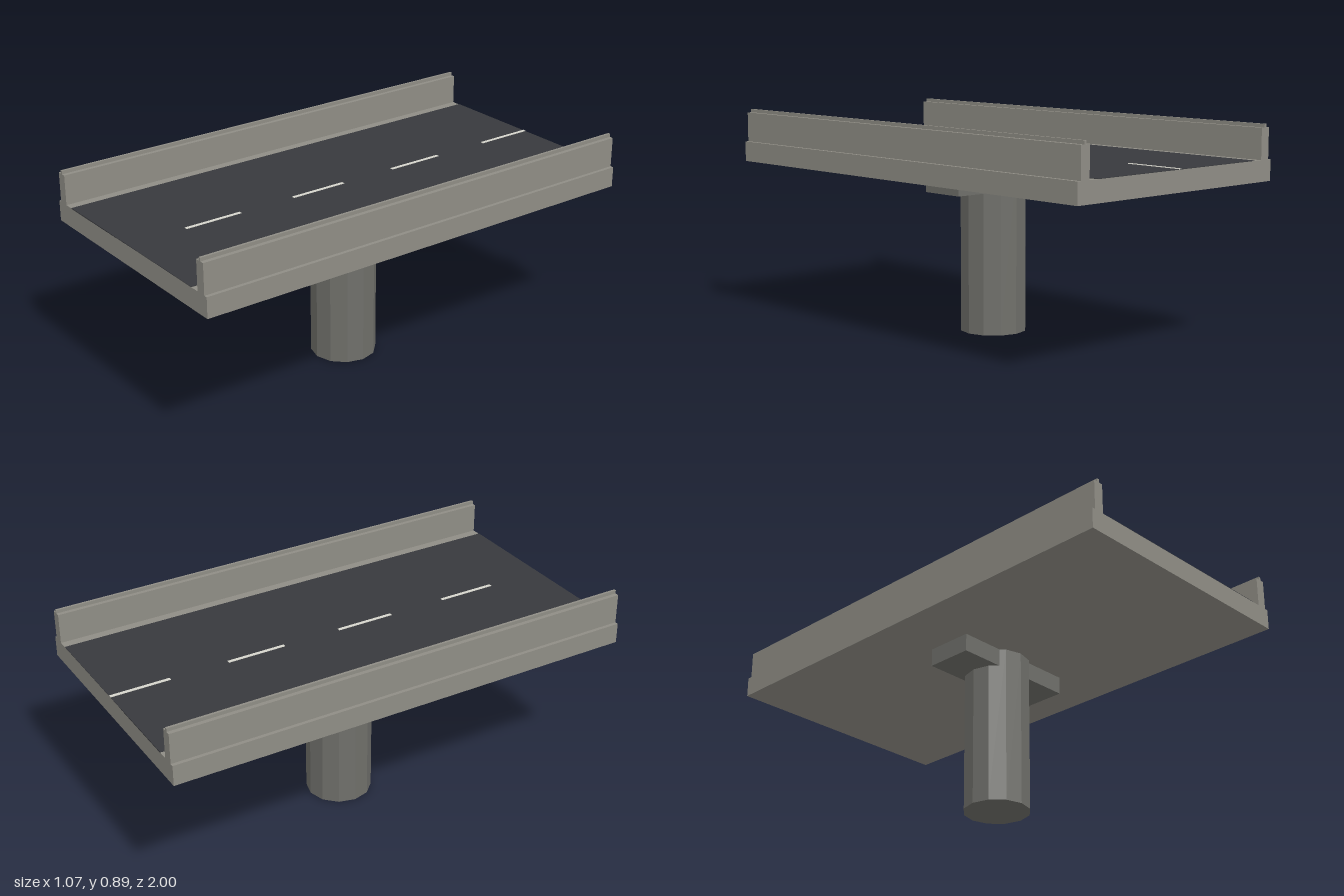
import * as THREE from 'three';

const material = (color, flatShading = false) => new THREE.MeshStandardMaterial({ color, flatShading });

export function createModel() {
  const model = new THREE.Group();
  model.name = 'bridgeSegment';

  const concrete = material(0x8f8d85);
  const pierConcrete = material(0x6f6f6a, true);
  const asphalt = material(0x38393d);
  const paint = material(0xd6d5cc);

  const add = (name, geometry, mat, x, y, z) => {
    const mesh = new THREE.Mesh(geometry, mat);
    mesh.name = name;
    mesh.position.set(x, y, z);
    model.add(mesh);
  };
  // Box given by its bottom and top heights
  const box = (name, mat, width, bottom, top, depth, x = 0, z = 0) =>
    add(name, new THREE.BoxGeometry(width, top - bottom, depth), mat, x, (bottom + top) / 2, z);

  // Pier: twelve-sided column with a crossbeam under the deck
  add('column', new THREE.CylinderGeometry(0.1375, 0.1375, 0.665, 12), pierConcrete, 0, 0.3325, 0);
  box('capBeam', pierConcrete, 0.56, 0.59, 0.665, 0.2);

  // Deck and road surface
  box('deck', concrete, 1.074, 0.665, 0.75, 2);
  box('roadSurface', asphalt, 0.874, 0.748, 0.752, 2);

  // Parapet and slim top rail on each side
  for (const [side, s] of [['left', 1], ['right', -1]]) {
    box(side + 'Parapet', concrete, 0.044, 0.75, 0.875, 2, s * 0.5);
    box(side + 'TopRail', concrete, 0.01, 0.875, 0.889, 2, s * 0.5);
  }

  // Dashed centre line, starting at the back edge
  for (let i = 0; i < 4; i++) {
    box('laneDash' + (i + 1), paint, 0.014, 0.75, 0.754, 0.25, 0, -0.875 + i * 0.5);
  }

  return model;
}
